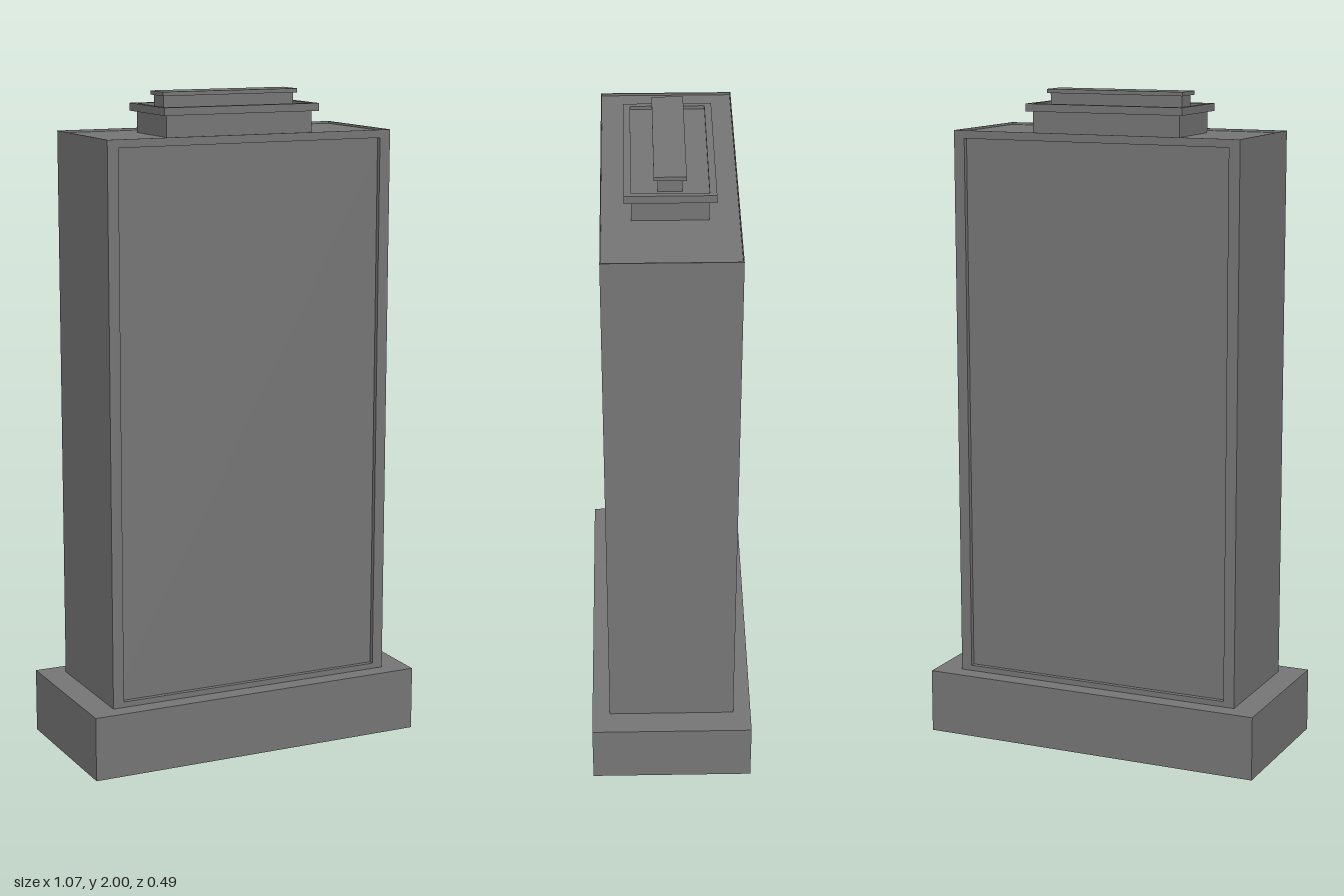
import * as THREE from 'three';

export function createModel() {
  const model = new THREE.Group();
  const grey = new THREE.MeshStandardMaterial({ color: 0x767676 });
  grey.name = 'stone grey';

  const add = (name, geometry) => {
    const mesh = new THREE.Mesh(geometry, grey);
    mesh.name = name;
    model.add(mesh);
    return mesh;
  };

  // Box centred on x and z, spanning y0 to y1
  const block = (name, halfX, halfZ, y0, y1) => {
    const mesh = add(name, new THREE.BoxGeometry(halfX * 2, y1 - y0, halfZ * 2));
    mesh.position.y = (y0 + y1) / 2;
    return mesh;
  };

  // Rectangular frame in the xy plane, extruded along +z
  const frame = (halfX, halfY, holeX, holeY, depth) => {
    const rect = (target, x, y) => {
      target.moveTo(-x, -y);
      target.lineTo(x, -y);
      target.lineTo(x, y);
      target.lineTo(-x, y);
      target.closePath();
      return target;
    };
    const shape = rect(new THREE.Shape(), halfX, halfY);
    shape.holes.push(rect(new THREE.Path(), holeX, holeY));
    return new THREE.ExtrudeGeometry(shape, { depth, bevelEnabled: false });
  };

  // Upright frame lying flat, from y0 to y1
  const rim = (name, halfX, halfZ, holeX, holeZ, y0, y1) => {
    const mesh = add(name, frame(halfX, halfZ, holeX, holeZ, y1 - y0));
    mesh.rotation.x = -Math.PI / 2;
    mesh.position.y = y0;
  };

  // Plinth and body core; the core faces are the recessed panels
  block('base', 0.537, 0.247, 0, 0.195);
  block('body', 0.458, 0.178, 0.195, 1.873);

  // Raised borders around the front and back panels
  for (const [name, angle] of [['frontFrame', 0], ['backFrame', Math.PI]]) {
    const mesh = add(name, frame(0.458, 0.839, 0.424, 0.822, 0.015));
    mesh.rotation.y = angle;
    mesh.position.set(0, 1.034, angle ? -0.178 : 0.178);
  }

  // Thin lip around the roof
  rim('roofLip', 0.458, 0.193, 0.455, 0.19, 1.873, 1.88);

  // Rooftop block with an overhanging, rimmed slab
  block('roofBlock', 0.237, 0.107, 1.873, 1.937);
  block('roofSlab', 0.252, 0.127, 1.937, 1.95);
  rim('roofSlabRim', 0.252, 0.127, 0.237, 0.107, 1.95, 1.96);

  // Narrow ridge and its cap
  block('ridge', 0.213, 0.034, 1.95, 1.988);
  block('ridgeCap', 0.22, 0.045, 1.988, 2);

  return model;
}
